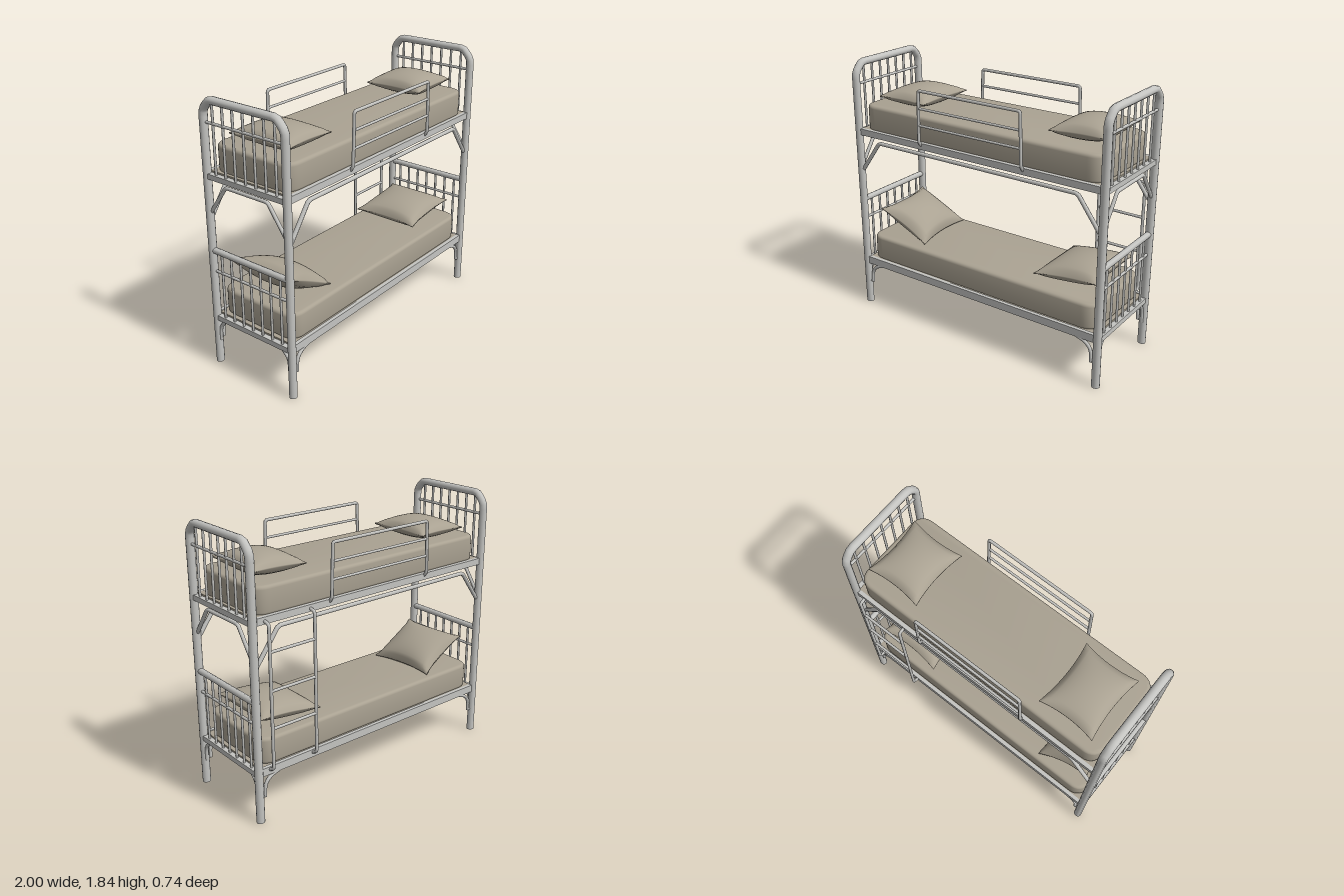
import * as THREE from 'three';
import { mergeVertices, toCreasedNormals } from 'three/addons/utils/BufferGeometryUtils.js';

const V = (x, y, z) => new THREE.Vector3(x, y, z);

// Polyline path whose corners are rounded by the given bend distance
function bentPath(points, bend) {
  const path = new THREE.CurvePath();
  let from = points[0];
  for (let i = 1; i < points.length - 1; i++) {
    const p = points[i];
    const a = p.clone().add(points[i - 1].clone().sub(p).setLength(bend));
    const b = p.clone().add(points[i + 1].clone().sub(p).setLength(bend));
    path.add(new THREE.LineCurve3(from, a));
    path.add(new THREE.QuadraticBezierCurve3(a, p, b));
    from = b;
  }
  path.add(new THREE.LineCurve3(from, points[points.length - 1]));
  return path;
}

function mattressGeometry(w, d, h, corner, bevel) {
  const x = w / 2 - bevel, z = d / 2 - bevel, r = corner;
  const s = new THREE.Shape();
  s.moveTo(-x + r, -z);
  s.lineTo(x - r, -z).quadraticCurveTo(x, -z, x, -z + r);
  s.lineTo(x, z - r).quadraticCurveTo(x, z, x - r, z);
  s.lineTo(-x + r, z).quadraticCurveTo(-x, z, -x, z - r);
  s.lineTo(-x, -z + r).quadraticCurveTo(-x, -z, -x + r, -z);
  const g = new THREE.ExtrudeGeometry(s, {
    depth: h - 2 * bevel, bevelSize: bevel, bevelThickness: bevel, bevelSegments: 4, curveSegments: 8,
  });
  g.rotateX(-Math.PI / 2).translate(0, bevel, 0);
  return toCreasedNormals(g, 0.7);
}

// Cushion with pinched corners and a thin seam round its edge
function pillowGeometry(w, d, h) {
  let g = new THREE.BoxGeometry(2, 2, 2, 18, 1, 18);
  const p = g.attributes.position;
  for (let i = 0; i < p.count; i++) {
    const u = p.getX(i), v = p.getZ(i), side = Math.sign(p.getY(i));
    const puff = Math.pow(Math.max(0, (1 - u * u) * (1 - v * v)), 0.5);
    p.setXYZ(i,
      u * (w / 2) * (1 - 0.12 * (1 - v * v)),
      side * (0.004 + puff * h / 2),
      v * (d / 2) * (1 - 0.1 * (1 - u * u)));
  }
  g.deleteAttribute('normal');
  g.deleteAttribute('uv');
  g = mergeVertices(g);
  g.computeVertexNormals();
  return g;
}

export function createModel() {
  const model = new THREE.Group();
  model.name = 'bunkBed';
  const metal = new THREE.MeshStandardMaterial({ color: 0xc4c4c1 });
  metal.name = 'light grey metal';
  const cloth = new THREE.MeshStandardMaterial({ color: 0xaaa292 });
  cloth.name = 'beige bedding';

  const frame = new THREE.Group();
  frame.name = 'frame';
  frame.position.z = 0.0125;
  model.add(frame);

  const add = (name, geometry, material, x = 0, y = 0, z = 0, parent = frame) => {
    const m = new THREE.Mesh(geometry, material);
    m.name = name;
    m.position.set(x, y, z);
    parent.add(m);
    return m;
  };
  const tube = (name, points, r, bend = 0.03, segments = 48, sides = 8) =>
    add(name, new THREE.TubeGeometry(bentPath(points, bend), segments, r, sides), metal);
  const bar = (name, a, b, r) => tube(name, [a, b], r, 0, 1);

  const PX = 0.971, PZ = 0.322;

  // Head and foot ends: arched posts, spindles and cross rails
  for (const sx of [-1, 1]) {
    const X = sx * PX;
    const arch = tube('postArch', [
      V(0, 0, -PZ), V(0, 1.745, -PZ), V(0, 1.812, -0.265),
      V(0, 1.812, 0.265), V(0, 1.745, PZ), V(0, 0, PZ),
    ], 0.0255, 0.025, 140, 12);
    arch.position.x = X;
    arch.scale.x = 1.12;
    for (const z of [-PZ, PZ]) {
      const cap = add('postFoot', new THREE.CircleGeometry(0.0255, 12), metal, X, 0.001, z);
      cap.rotation.x = Math.PI / 2;
      cap.scale.x = 1.12;
    }
    for (const [low, mid, high] of [[0.34, 0.68, 0.825], [1.33, 1.67, 1.812]]) {
      for (let i = 0; i < 7; i++) {
        const z = -0.245 + i * 0.0817;
        bar('spindle', V(X, low, z), V(X, high, z), 0.0085);
      }
      bar('endCrossBar', V(X, mid, -PZ), V(X, mid, PZ), 0.01);
      add('endRail', new THREE.BoxGeometry(0.035, 0.035, PZ * 2), metal, X, low, 0);
    }
    bar('lowerEndTopRail', V(X, 0.825, -PZ), V(X, 0.825, PZ), 0.021);

    // Straight braces under the upper bunk ends
    tube('upperEndBrace', [
      V(X, 1.07, -PZ), V(X, 1.285, -0.17), V(X, 1.285, 0.17), V(X, 1.07, PZ),
    ], 0.0125, 0.02);

    // Curved brackets under the lower bunk
    for (const z of [-PZ, PZ]) {
      const s = Math.sign(z);
      tube('lowerSideBracket', [V(X - sx * 0.04, 0.17, z), V(X - sx * 0.045, 0.26, z),
        V(X - sx * 0.09, 0.305, z), V(X - sx * 0.16, 0.325, z)], 0.012, 0.035, 16);
      bar('bracketTab', V(X, 0.175, z), V(X - sx * 0.045, 0.175, z), 0.01);
      tube('lowerEndBracket', [V(X, 0.17, z - s * 0.02), V(X, 0.27, z - s * 0.025),
        V(X, 0.325, z - s * 0.075)], 0.012, 0.035, 16);
    }
  }

  // Long rails, bases and braces
  for (const [y, h] of [[0.347, 0.054], [1.336, 0.045]]) {
    for (const z of [-PZ, PZ])
      add('sideRail', new THREE.BoxGeometry(PX * 2, h, 0.026), metal, 0, y, z);
    add('bedBase', new THREE.BoxGeometry(PX * 2 - 0.035, 0.02, PZ * 2 - 0.026), cloth, 0, y + 0.012, 0);
  }
  for (const z of [-PZ, PZ])
    tube('upperSideBrace', [
      V(-0.95, 1.06, z), V(-0.79, 1.278, z), V(0.79, 1.278, z), V(0.95, 1.06, z),
    ], 0.014, 0.02, 90);

  // Guard rails on both sides of the upper bunk
  for (const s of [-1, 1]) {
    const z = s * 0.349;
    tube('guardRail', [
      V(-0.405, 1.335, s * PZ), V(-0.405, 1.37, z), V(-0.395, 1.718, z),
      V(0.395, 1.718, z), V(0.405, 1.37, z), V(0.405, 1.335, s * PZ),
    ], 0.011, 0.015, 150);
    for (const y of [1.485, 1.6])
      bar('guardBar', V(-0.4, y, z), V(0.4, y, z), 0.009);
  }

  // Ladder on the back
  for (const x of [0.558, 0.892])
    tube('ladderStile', [
      V(x, 0.35, -PZ), V(x, 0.375, -0.374), V(x, 1.325, -0.374), V(x, 1.335, -PZ),
    ], 0.011, 0.02, 80);
  for (const y of [0.65, 0.9, 1.15])
    bar('ladderRung', V(0.558, y, -0.374), V(0.892, y, -0.374), 0.01);

  // Mattresses
  for (const y of [0.368, 1.348])
    add('mattress', mattressGeometry(1.87, 0.615, 0.182, 0.08, 0.022), cloth, 0, y, 0);

  // Pillows: width, depth, thickness, position, turn, tilt
  const pillows = [
    ['upperRightPillow', 0.39, 0.47, 0.13, -0.655, 1.582, 0.005, 0, 0],
    ['upperLeftPillow', 0.39, 0.44, 0.14, 0.7, 1.592, 0, 0, 0.04],
    ['lowerRightPillow', 0.42, 0.5, 0.17, -0.695, 0.655, 0.01, 0.08, -0.48],
    ['lowerLeftPillow', 0.46, 0.5, 0.15, 0.665, 0.637, 0, 0, 0.12],
  ];
  for (const [name, w, d, h, x, y, z, turn, tilt] of pillows)
    add(name, pillowGeometry(w, d, h), cloth, x, y, z, model).rotation.set(0, turn, tilt);

  return model;
}
